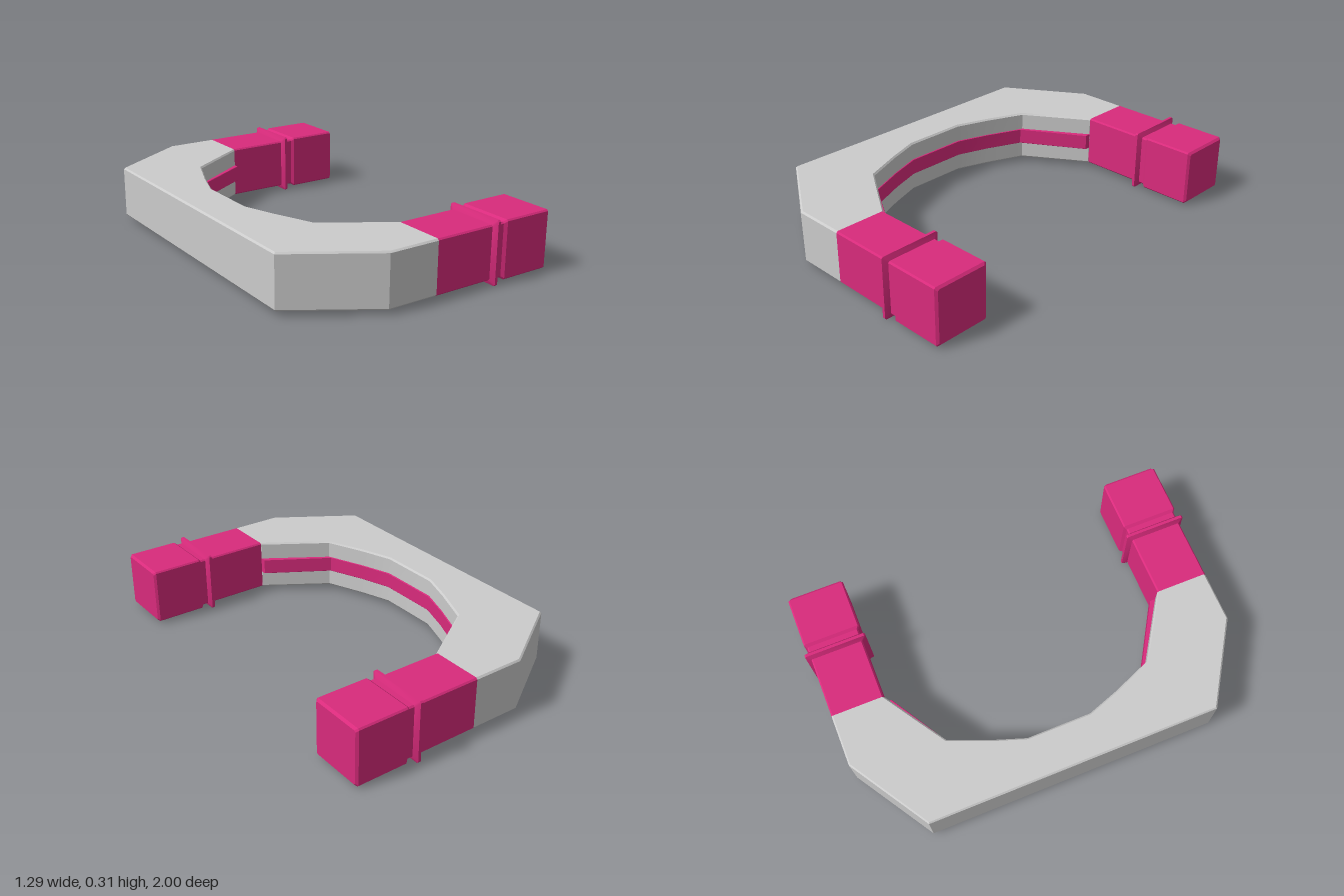
import * as THREE from 'three';
import { toCreasedNormals } from 'three/addons/utils/BufferGeometryUtils.js';

const MID_Y = 0.153, ARM_Z = 0.847;
const grey = new THREE.MeshStandardMaterial({ color: 0xcccccc });
const pink = new THREE.MeshStandardMaterial({ color: 0xd92b7c });

// Skin a list of equal-sized rings of [x, y, z] and close both ends
function loft(rings) {
  const n = rings[0].length, last = (rings.length - 1) * n, index = [];
  for (let i = 0; i < rings.length - 1; i++) {
    for (let j = 0; j < n; j++) {
      const a = i * n + j, b = i * n + (j + 1) % n;
      index.push(a, a + n, b + n, a, b + n, b);
    }
  }
  for (let j = 1; j < n - 1; j++) {
    index.push(0, j, j + 1, last, last + j + 1, last + j);
  }
  const geo = new THREE.BufferGeometry();
  geo.setAttribute('position', new THREE.Float32BufferAttribute(rings.flat(2), 3));
  geo.setIndex(index);
  return toCreasedNormals(geo, 0.5);
}

// Chamfered rectangle between an inner and an outer point [x, z]
function section(inner, outer, halfHeight, c) {
  const dx = outer[0] - inner[0], dz = outer[1] - inner[1], len = Math.hypot(dx, dz);
  const h = halfHeight;
  return [
    [len, -h + c], [len, h - c], [len - c, h], [c, h],
    [0, h - c], [0, -h + c], [c, -h], [len - c, -h],
  ].map(([u, y]) => [inner[0] + dx * u / len, MID_Y + y, inner[1] + dz * u / len]);
}

// Complete half a path of point pairs by mirroring it in z
function mirrored(half) {
  const flip = half.map((pair) => pair.map(([x, z]) => [x, -z]));
  return [...flip, ...half.slice().reverse()];
}

function add(parent, name, geo, material) {
  const mesh = new THREE.Mesh(geo, material);
  mesh.name = name;
  parent.add(mesh);
}

export function createModel() {
  const model = new THREE.Group();
  model.name = 'clampFrame';

  // C-shaped body: [inner, outer] pairs from arm to middle
  const bodyHalf = [
    [[0, 0.715], [0, 0.977]],
    [[-0.155, 0.615], [-0.255, 0.977]],
    [[-0.31, 0.515], [-0.65, 0.727]],
    [[-0.39, 0.32], [-0.65, 0.32]],
    [[-0.445, 0.16], [-0.65, 0.16]],
  ];
  add(model, 'body', loft(mirrored(bodyHalf).map(([a, b]) => section(a, b, 0.13, 0.008))), grey);

  // Raised strip along the inner wall
  const stripHalf = [
    [[0, 0.688], [0, 0.75]],
    [[-0.31, 0.5], [-0.34, 0.54]],
    [[-0.385, 0.32], [-0.43, 0.33]],
    [[-0.438, 0.16], [-0.48, 0.16]],
  ];
  add(model, 'innerStrip', loft(mirrored(stripHalf).map(([a, b]) => section(a, b, 0.04, 0.002))), pink);

  // Square arm ends: [x, half width] with a collar and a thicker cap
  const profile = [
    [0, 0.13], [0.305, 0.13], [0.318, 0.153], [0.332, 0.153], [0.345, 0.13],
    [0.372, 0.13], [0.386, 0.141], [0.634, 0.141], [0.645, 0.131],
  ];
  for (const side of [1, -1]) {
    const z = side * ARM_Z;
    const rings = profile.map(([x, r]) => section([x, z - r], [x, z + r], r, 0.007));
    add(model, side > 0 ? 'frontArmEnd' : 'backArmEnd', loft(rings), pink);
  }
  return model;
}
